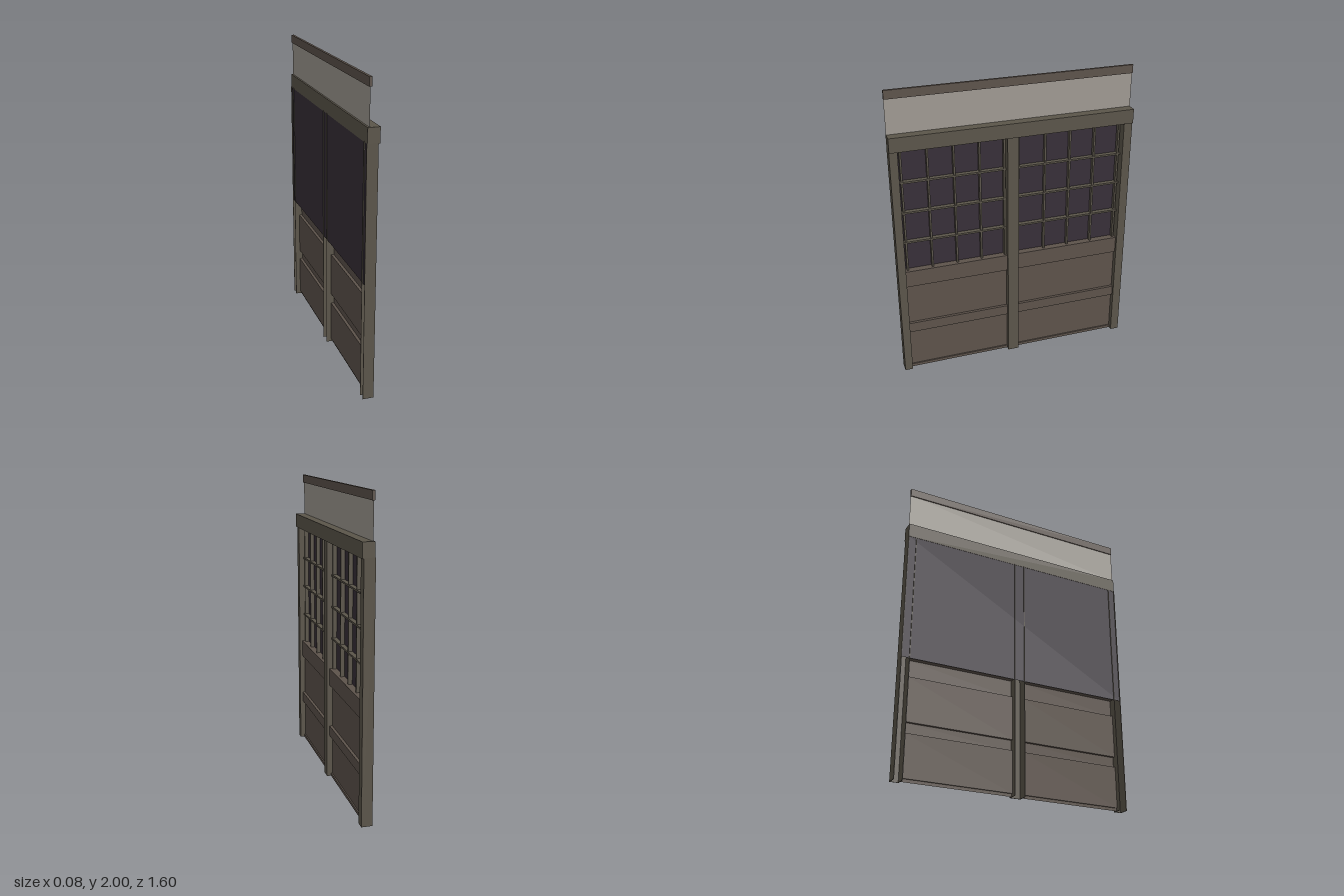
import * as THREE from 'three';

const mat = (name, color, side = THREE.FrontSide) => {
  const m = new THREE.MeshStandardMaterial({ color, side });
  m.name = name;
  return m;
};

export function createModel() {
  const root = new THREE.Group();
  root.name = 'panelledWallSection';
  const frame = mat('olive frame wood', 0x5b554a);
  const wood = mat('brown panel wood', 0x5d534b, THREE.DoubleSide);
  const glass = mat('dark glass', 0x372f38, THREE.DoubleSide);
  const plaster = mat('pale plaster', 0x9f9a92, THREE.DoubleSide);

  // Box given by its min and max on each axis
  const box = (name, material, [x0, x1], [y0, y1], [z0, z1], parent = root) => {
    const m = new THREE.Mesh(new THREE.BoxGeometry(x1 - x0, y1 - y0, z1 - z0), material);
    m.position.set((x0 + x1) / 2, (y0 + y1) / 2, (z0 + z1) / 2);
    m.name = name;
    parent.add(m);
    return m;
  };

  // Upright sheet facing +x
  const sheet = (name, material, x, [y0, y1], [z0, z1]) => {
    const m = new THREE.Mesh(new THREE.PlaneGeometry(z1 - z0, y1 - y0), material);
    m.rotation.y = Math.PI / 2;
    m.position.set(x, (y0 + y1) / 2, (z0 + z1) / 2);
    m.name = name;
    root.add(m);
  };

  // Folded sheet: an (x, y) profile swept along z
  const foldedSheet = (name, material, profile, [z0, z1]) => {
    const pos = [];
    for (let i = 0; i < profile.length - 1; i++) {
      const [ax, ay] = profile[i], [bx, by] = profile[i + 1];
      pos.push(ax, ay, z1, ax, ay, z0, bx, by, z0, ax, ay, z1, bx, by, z0, bx, by, z1);
    }
    const g = new THREE.BufferGeometry();
    g.setAttribute('position', new THREE.Float32BufferAttribute(pos, 3));
    g.computeVertexNormals();
    const m = new THREE.Mesh(g, material);
    m.name = name;
    root.add(m);
  };

  // Posts: channels open at the back
  const t = 0.004;
  const post = (name, z0, z1) => {
    const g = new THREE.Group();
    g.name = name;
    box('postFace', frame, [0.03 - t, 0.03], [0, 1.63], [z0, z1], g);
    box('postFlangeA', frame, [-0.04, 0.03 - t], [0, 1.63], [z0, z0 + t], g);
    box('postFlangeB', frame, [-0.04, 0.03 - t], [0, 1.63], [z1 - t, z1], g);
    root.add(g);
  };
  post('nearPost', 0.748, 0.8);
  post('middlePost', -0.022, 0.053);
  post('farPost', -0.8, -0.743);

  // Lintel, top rail and the plaster strip between them
  box('lintel', frame, [-0.036, 0.04], [1.625, 1.72], [-0.8, 0.8]);
  box('topRail', wood, [-0.031, -0.014], [1.945, 2], [-0.8, 0.8]);
  sheet('plasterStrip', plaster, -0.024, [1.72, 1.95], [-0.8, 0.8]);

  // Glass backing behind both bays
  sheet('windowGlass', glass, -0.034, [0.765, 1.625], [-0.796, 0.796]);

  // Lower panelling profile with raised rails
  const p = -0.007, r = 0.012;
  const profile = [
    [r - 0.01, 0], [r - 0.01, 0.02], [p, 0.02], [p, 0.295], [r, 0.295], [r, 0.365],
    [p, 0.365], [p, 0.655], [r, 0.655], [r, 0.77], [-0.034, 0.77],
  ];

  // Each bay: panelling below, glazing bars above
  const bays = [
    { z: [0.053, 0.748], bars: [0.062, 0.225, 0.392, 0.56, 0.727] },
    { z: [-0.743, -0.022], bars: [-0.03, -0.214, -0.384, -0.555, -0.726] },
  ];
  for (const bay of bays) {
    foldedSheet('lowerPanelling', wood, profile, bay.z);
    for (const z of bay.bars)
      box('verticalBar', frame, [-0.033, -0.006], [0.77, 1.625], [z - 0.006, z + 0.006]);
    for (const y of [0.978, 1.19, 1.4, 1.614])
      box('horizontalBar', frame, [-0.033, -0.002], [y - 0.006, y + 0.006], bay.z);
  }
  return root;
}
